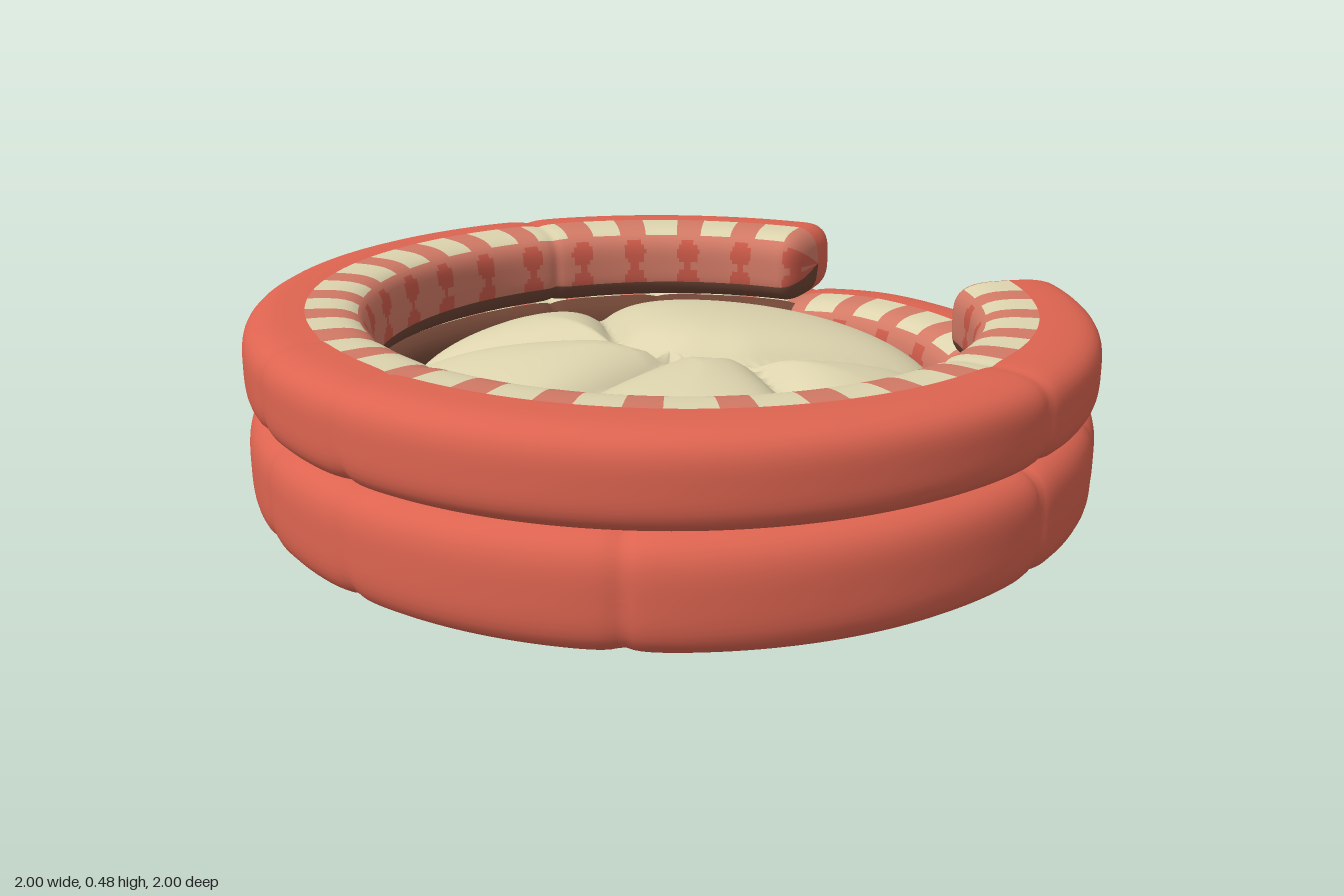
import * as THREE from 'three';

const mat = (name, color) => {
  const m = new THREE.MeshStandardMaterial({ color });
  m.name = name;
  return m;
};
const DEG = Math.PI / 180;
const RED = 0, PINK = 1, CREAM = 2, DOT = 3, BROWN = 4;

// Grid surface swept round y; point(i, j) gives [x, y, z], colour(i, j) a material slot per cell
function sweep(na, np, closed, point, colour) {
  const pos = [], slots = [[], [], [], [], []];
  for (let i = 0; i <= na; i++) for (let j = 0; j <= np; j++) pos.push(...point(i, j));
  const id = (i, j) => (closed ? i % na : i) * (np + 1) + j;
  for (let i = 0; i < na; i++) for (let j = 0; j < np; j++) {
    const a = id(i, j), b = id(i, j + 1), c = id(i + 1, j + 1), d = id(i + 1, j);
    slots[colour(i + 0.5, j + 0.5)].push(a, b, d, b, c, d);
  }
  const geo = new THREE.BufferGeometry();
  geo.setAttribute('position', new THREE.Float32BufferAttribute(pos, 3));
  const index = [];
  slots.forEach((s, k) => {
    if (!s.length) return;
    geo.addGroup(index.length, s.length, k);
    for (const v of s) index.push(v);
  });
  geo.setIndex(index);
  geo.computeVertexNormals();
  return geo;
}

// Rounded-square tube section: unit offsets (outward, up)
function section(phi) {
  const c = Math.cos(phi), s = Math.sin(phi), n = 3.6;
  const k = (Math.abs(c) ** n + Math.abs(s) ** n) ** (-1 / n);
  return [c * k, s * k];
}

// Padded tube between two angles, pinched at its seams
function paddedRing({ start, end, closed, seams, bottom, top, colour }) {
  const NA = 420, NP = 56;
  const angle = (i) => {
    const t = i / NA;
    const w = closed ? t : t - 0.5 * Math.sin(2 * Math.PI * t) / (2 * Math.PI);
    return start + (end - start) * w;
  };
  const phi = (j) => (j / NP) * 2 * Math.PI;
  const point = (i, j) => {
    const a = angle(i), [u, v] = section(phi(j % NP));
    let s = 1;
    for (const seam of seams) {
      for (const m of [seam, 360 - seam]) {
        const d = Math.abs(((a / DEG - m + 540) % 360) - 180) * DEG;
        s -= 0.07 * Math.exp(-d / 0.022);
      }
    }
    if (!closed) {
      const d = Math.min(a - start, end - a) / 0.09;
      if (d < 1) s *= Math.max(0, 1 - (1 - Math.max(d, 0)) ** 2.5) ** (1 / 2.5);
    }
    const y1 = top(a), cy = (y1 + bottom) / 2, hh = (y1 - bottom) / 2;
    const r = 0.856 + 0.144 * s * u;
    return [r * Math.cos(a), cy + hh * s * v, r * Math.sin(a)];
  };
  return sweep(NA, NP, closed, point, (i, j) => colour(...section(phi(j)), angle(i)));
}

// Lining pattern: cream squares along the rim, oval dots between them on the inner wall
function lining(u, v, a) {
  const pitch = (2 * Math.PI) / 30, f = ((a / pitch) % 1 + 1) % 1;
  if (u > -0.78 && u < 0 && Math.abs(v) > 0.6 && Math.abs(f - 0.5) < 0.27) return CREAM;
  const df = (f > 0.5 ? f - 1 : f) / 0.2, dv = (Math.abs(v) - 0.38) / 0.34;
  return u < -0.6 && df * df + dv * dv < 1 ? DOT : PINK;
}

// Puffy cushion: dome over a flatter base, gathered along creases
function cushionGeometry() {
  const R = 0.715, NA = 180, NP = 72;
  const hub = [-0.02, 0.05], back = [-0.05, -0.14], front = [0.11, 0.17];
  const creases = [
    [hub, back], [back, [0.26, -0.68]], [back, [-0.45, -0.58]],
    [hub, [-0.72, 0.17]],
    [hub, front], [front, [-0.07, 0.72]], [front, [0.62, 0.38]],
  ];
  const distance = (x, z, [p, q]) => {
    const dx = q[0] - p[0], dz = q[1] - p[1];
    const t = Math.min(1, Math.max(0, ((x - p[0]) * dx + (z - p[1]) * dz) / (dx * dx + dz * dz)));
    return Math.hypot(x - p[0] - t * dx, z - p[1] - t * dz);
  };
  const point = (i, j) => {
    const a = ((i % NA) / NA) * 2 * Math.PI, w = (j / NP) * 2 - 1;
    const q = 1 - w * w;
    const x = q * R * Math.cos(a), z = q * R * Math.sin(a);
    const d = Math.min(...creases.map((c) => distance(x, z, c)));
    const fold = Math.exp(-d / 0.06);
    const pinch = 1 - 0.03 * fold * q;
    const lift = w >= 0
      ? 0.235 * Math.sqrt(Math.max(0, 1 - q ** 2.4)) * (1 - 0.33 * fold)
      : -0.145 * Math.sqrt(Math.max(0, 1 - q ** 5)) * (1 - 0.3 * fold);
    return [x * pinch - 0.008, 0.155 + lift, z * pinch];
  };
  return sweep(NA, NP, true, point, () => 0);
}

export function createModel() {
  const red = mat('red cover', 0xdd6450);
  const pink = mat('pink lining', 0xd27a66);
  const cream = mat('cream fabric', 0xddd4ae);
  const dot = mat('red dots', 0xcc5a49);
  const brown = mat('brown inner band', 0x6f4535);
  const fabrics = [red, pink, cream, dot, brown];
  const group = new THREE.Group();
  group.name = 'petBed';
  const add = (name, geo, material) => {
    const mesh = new THREE.Mesh(geo, material);
    mesh.name = name;
    group.add(mesh);
  };

  // Full lower ring, a little taller at the entrance
  add('lowerRing', paddedRing({
    start: 0, end: 2 * Math.PI, closed: true,
    seams: [25, 55, 78, 134, 170],
    bottom: 0.018,
    top: (a) => 0.28 + 0.018 * Math.exp(-((Math.sin(a / 2) / 0.17) ** 4)),
    colour: (u, v, a) => {
      if (u > 0.05) return RED;
      const entrance = Math.cos(a) > Math.cos(25 * DEG);
      return !entrance && u < -0.6 && v > -0.1 ? BROWN : lining(u, v, a);
    },
  }), fabrics);

  // Upper ring, open at the entrance and lower toward its ends
  add('upperRing', paddedRing({
    start: 22.5 * DEG, end: 337.5 * DEG, closed: false,
    seams: [78, 170],
    bottom: 0.272,
    top: (a) => 0.467 + 0.0125 * (1 - Math.cos(a)),
    colour: (u, v, a) => {
      if (u > 0.05) return RED;
      return v < -0.45 ? BROWN : lining(u, v, a);
    },
  }), fabrics);

  add('cushion', cushionGeometry(), cream);
  return group;
}
